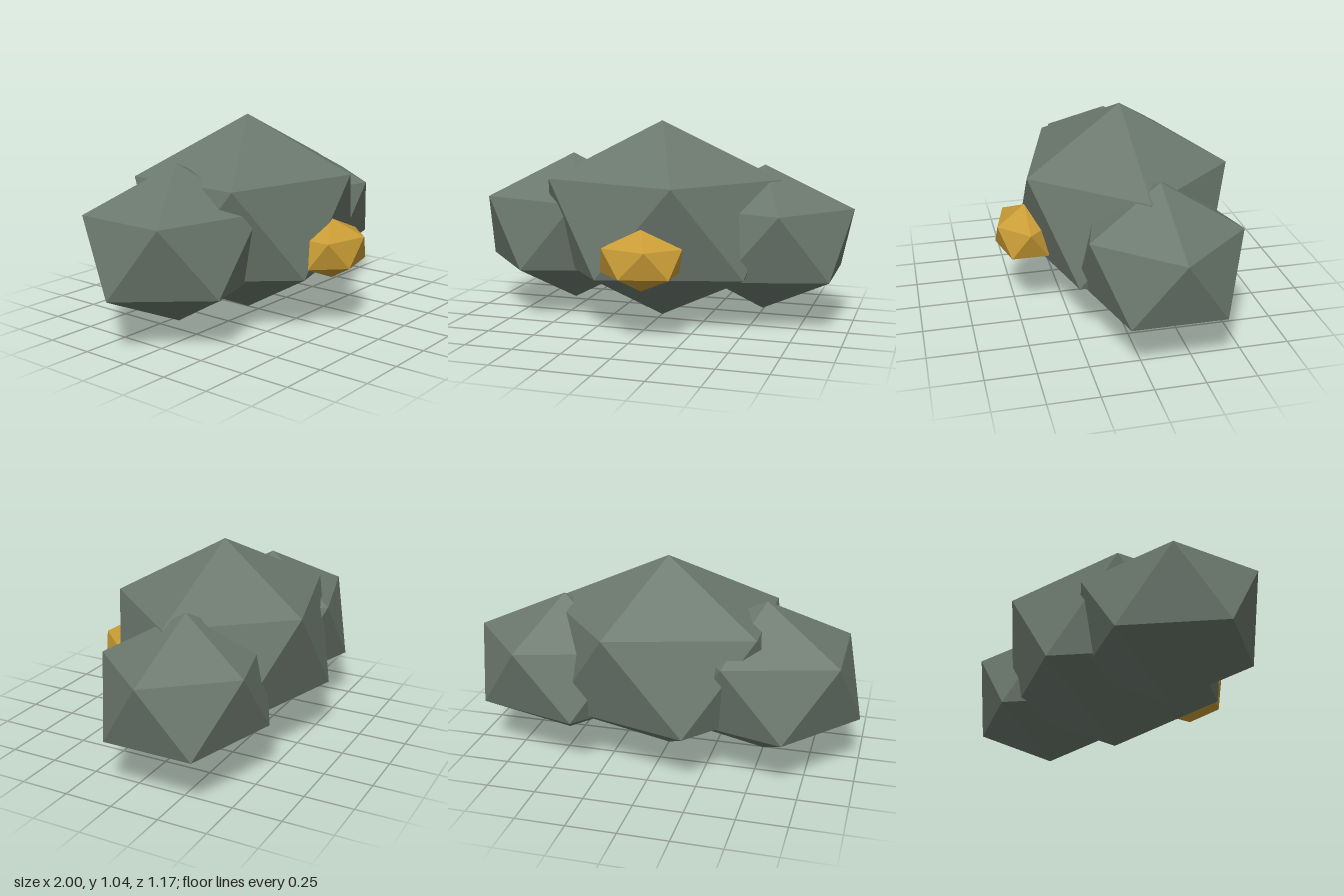
import * as THREE from 'three';
import { ConvexGeometry } from 'three/addons/geometries/ConvexGeometry.js';

// Unit icosahedron standing on a point, upper ring turned half a step from the lower
function pointedIcosahedron() {
  const points = [new THREE.Vector3(0, 1, 0), new THREE.Vector3(0, -1, 0)];
  const y = 1 / Math.sqrt(5), r = 2 / Math.sqrt(5);
  for (let i = 0; i < 10; i++) {
    const a = (i * Math.PI) / 5;
    points.push(new THREE.Vector3(r * Math.cos(a), i % 2 ? -y : y, r * Math.sin(a)));
  }
  return new ConvexGeometry(points);
}

export function createModel() {
  const group = new THREE.Group();
  group.name = 'rockCluster';
  const stone = new THREE.MeshStandardMaterial({ color: 0x6b786d });
  stone.name = 'grey green stone';
  const gold = new THREE.MeshStandardMaterial({ color: 0xc99c35 });
  gold.name = 'gold';

  const geometry = pointedIcosahedron();
  const addRock = (name, material, position, radii) => {
    const mesh = new THREE.Mesh(geometry, material);
    mesh.name = name;
    mesh.position.set(...position);
    mesh.scale.set(...radii);
    group.add(mesh);
  };

  // Three overlapping boulders
  addRock('centreBoulder', stone, [0, 0.5275, -0.0725], [0.71, 0.5225, 0.6025]);
  addRock('rightBoulder', stone, [-0.513, 0.46, -0.105], [0.545, 0.402, 0.465]);
  addRock('leftBoulder', stone, [0.535, 0.446, -0.143], [0.52, 0.382, 0.44]);
  // Nugget set in the front face
  addRock('goldNugget', gold, [0.045, 0.407, 0.436], [0.235, 0.153, 0.175]);
  return group;
}
